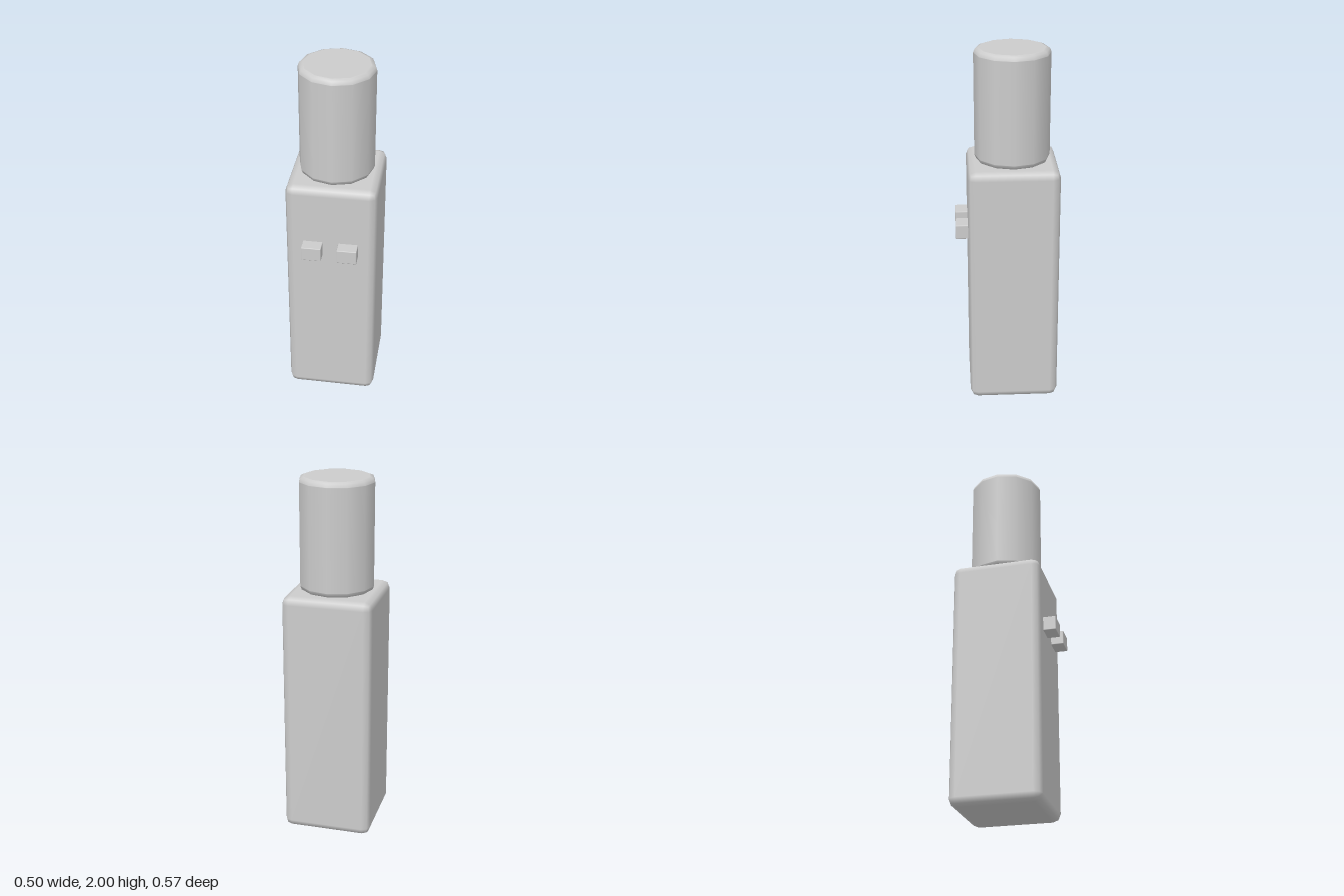
import * as THREE from 'three';
import { RoundedBoxGeometry } from 'three/addons/geometries/RoundedBoxGeometry.js';

export function createModel() {
  const model = new THREE.Group();
  const grey = new THREE.MeshStandardMaterial({ color: 0xcccccc });
  grey.name = 'light grey';

  const add = (name, geometry, x, y, z) => {
    const mesh = new THREE.Mesh(geometry, grey);
    mesh.name = name;
    mesh.position.set(x, y, z);
    model.add(mesh);
  };

  // Tall square body with softened edges
  add('body', new RoundedBoxGeometry(0.497, 1.382, 0.497, 1, 0.043), 0, 0.691, -0.036);

  // Twelve-sided cap; close point pairs keep the side and ends flat beside the rounded rims
  const radius = 0.206, height = 0.618, bevel = 0.026, hold = 0.002;
  const profile = [new THREE.Vector2(0, 0), new THREE.Vector2(radius - bevel - hold, 0)];
  const rim = (centreY, from) => {
    for (let i = 0; i <= 2; i++) {
      const a = from + i * Math.PI / 4;
      profile.push(new THREE.Vector2(radius - bevel + bevel * Math.cos(a), centreY + bevel * Math.sin(a)));
    }
  };
  rim(bevel, -Math.PI / 2);
  profile.push(new THREE.Vector2(radius, bevel + hold), new THREE.Vector2(radius, height - bevel - hold));
  rim(height - bevel, 0);
  profile.push(new THREE.Vector2(radius - bevel - hold, height), new THREE.Vector2(0, height));
  add('cap', new THREE.LatheGeometry(profile, 12), 0, 1.382, -0.036);

  // Pair of small blocks on the front
  for (const [name, side] of [['leftBlock', 1], ['rightBlock', -1]]) {
    add(name, new RoundedBoxGeometry(0.109, 0.08, 0.082, 1, 0.004), side * 0.097, 1.01, 0.241);
  }

  return model;
}
